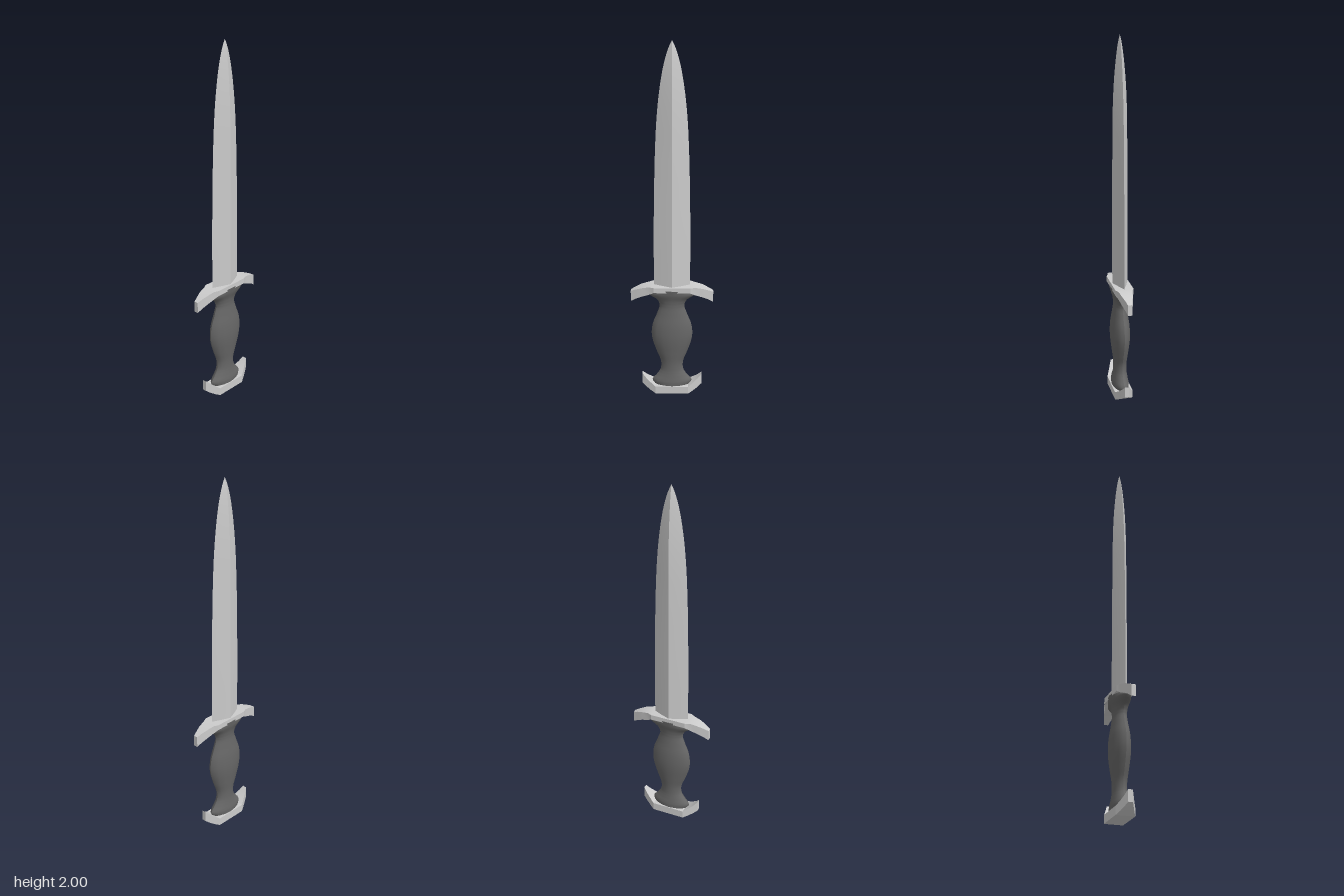
import * as THREE from 'three';
import { toCreasedNormals } from 'three/addons/utils/BufferGeometryUtils.js';

const steel = new THREE.MeshStandardMaterial({ color: 0xcccccc });
const darkWood = new THREE.MeshStandardMaterial({ color: 0x666666 });

// Skin a list of equal-length rings of [x, y, z] points and cap both ends
function loft(rings, crease) {
  const n = rings[0].length, last = (rings.length - 1) * n, index = [];
  for (let i = 0; i < rings.length - 1; i++) {
    for (let j = 0; j < n; j++) {
      const a = i * n + j, b = i * n + (j + 1) % n, c = a + n, d = b + n;
      index.push(a, c, b, b, c, d);
    }
  }
  for (let j = 1; j < n - 1; j++) {
    index.push(0, j, j + 1, last, last + j + 1, last + j);
  }
  const geometry = new THREE.BufferGeometry();
  geometry.setAttribute('position', new THREE.Float32BufferAttribute(rings.flat(2), 3));
  geometry.setIndex(index);
  return toCreasedNormals(geometry, crease);
}

// Upright part: rows of [halfWidth, y, halfDepth], smoothed, with a unit section of [x, z]
function uprightLoft(rows, section, steps, crease) {
  const curve = new THREE.CatmullRomCurve3(rows.map(r => new THREE.Vector3(...r)), false, 'centripetal');
  const rings = curve.getPoints(steps).map(p => section.map(([x, z]) => [x * p.x, p.y, z * p.z]));
  return loft(rings, crease);
}

// Crosspiece: half rows of [x, top, bottom, halfDepth], mirrored to the other side
function crossLoft(rows) {
  const mirrored = rows.slice(1).reverse().map(([x, ...rest]) => [-x, ...rest]);
  const rings = [...mirrored, ...rows].map(([x, t, b, d]) => [[x, t, d], [x, t, -d], [x, b, -d], [x, b, d]]);
  return loft(rings, 0.35);
}

// Complete a quarter section running from +x to +z
function fullSection(quarter) {
  const half = [...quarter, ...quarter.slice(0, -1).reverse().map(([x, z]) => [-x, z])];
  return [...half, ...half.slice(1, -1).reverse().map(([x, z]) => [x, -z])];
}

export function createModel() {
  const group = new THREE.Group();
  const add = (name, geometry, material) => {
    const mesh = new THREE.Mesh(geometry, material);
    mesh.name = name;
    group.add(mesh);
  };

  // Double-edged blade with a central ridge
  add('blade', uprightLoft([
    [0.098, 0.65, 0.042], [0.098, 0.95, 0.042], [0.094, 1.2, 0.041], [0.089, 1.4, 0.04],
    [0.079, 1.6, 0.038], [0.064, 1.75, 0.032], [0.042, 1.88, 0.021], [0.019, 1.96, 0.01],
    [0.001, 2, 0.001],
  ], fullSection([[1, 0], [0.5, 0.54], [0, 1]]), 48, 0.5), steel);

  // Guard with drooping arms
  add('guard', crossLoft([
    [0, 0.665, 0.635, 0.05], [0.1, 0.665, 0.635, 0.05], [0.125, 0.663, 0.618, 0.037],
    [0.165, 0.654, 0.603, 0.03], [0.2, 0.64, 0.584, 0.019], [0.225, 0.628, 0.567, 0.012],
  ]), steel);

  // Waisted grip, swelling in the middle and flared at both ends
  add('grip', uprightLoft([
    [0.095, 0.035, 0.046], [0.11, 0.066, 0.046], [0.085, 0.1, 0.041], [0.064, 0.135, 0.037],
    [0.062, 0.185, 0.037], [0.085, 0.25, 0.044], [0.106, 0.315, 0.051], [0.113, 0.365, 0.053],
    [0.106, 0.425, 0.05], [0.082, 0.49, 0.041], [0.068, 0.54, 0.036], [0.083, 0.575, 0.039],
    [0.134, 0.615, 0.05], [0.1, 0.645, 0.056],
  ], fullSection([[1, 0], [0.93, 0.3], [0.75, 0.6], [0.42, 0.87], [0, 1]]), 65, 0.7), darkWood);

  // Pommel with upturned arms
  add('pommel', crossLoft([
    [0, 0.045, 0, 0.05], [0.092, 0.045, 0, 0.05], [0.12, 0.064, 0.014, 0.036],
    [0.145, 0.085, 0.03, 0.024], [0.168, 0.11, 0.048, 0.012],
  ]), steel);

  return group;
}
